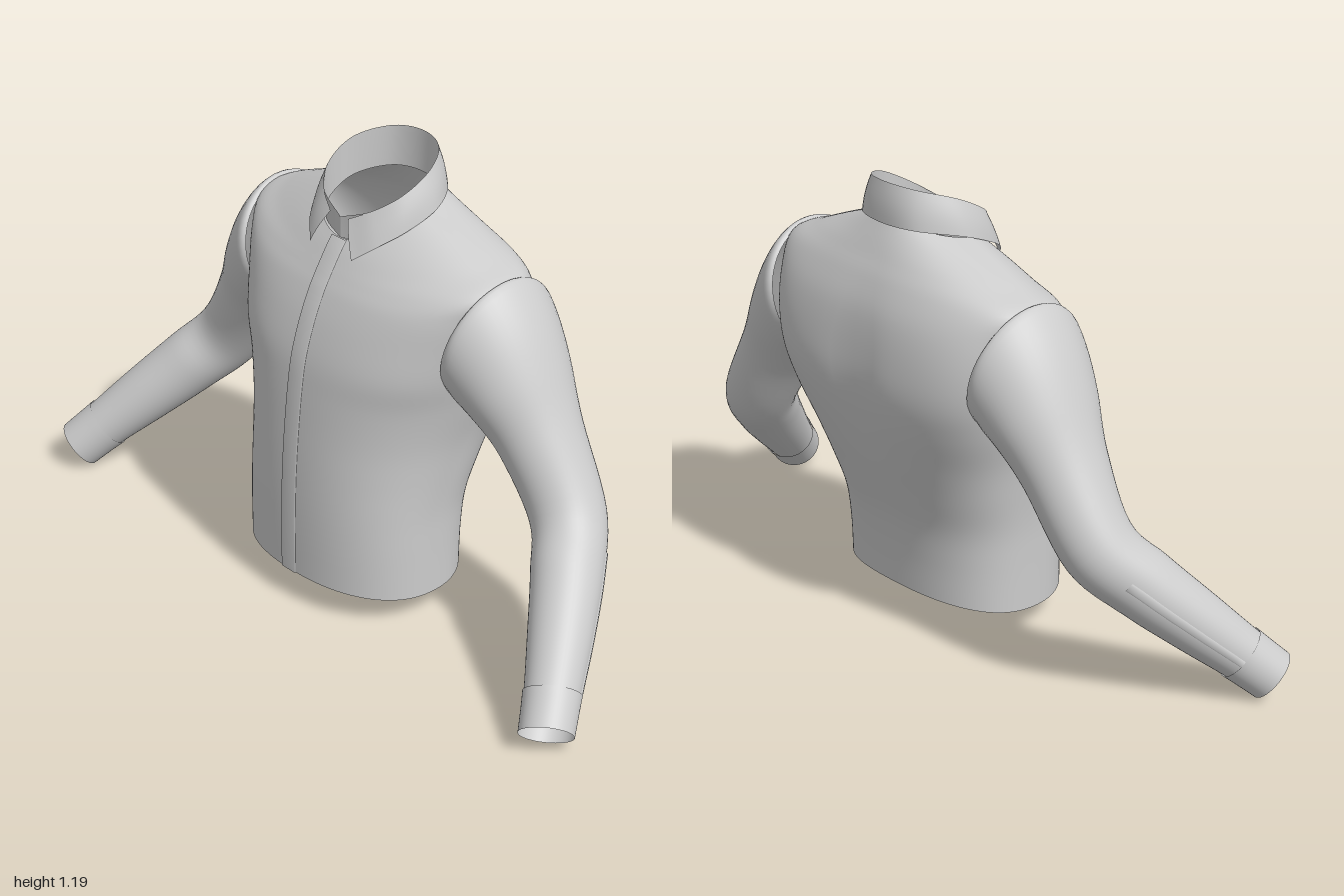
import * as THREE from 'three';

const V = (x, y, z) => new THREE.Vector3(x, y, z);
const material = new THREE.MeshStandardMaterial({ color: 0xcccccc, side: THREE.DoubleSide });

// Smooth (Catmull-Rom) in-between rows for a short table of cross-sections
function resample(rows, steps) {
  const out = [];
  const at = (i) => rows[Math.min(rows.length - 1, Math.max(0, i))];
  for (let k = 0; k <= (rows.length - 1) * steps; k++) {
    const i = Math.min(rows.length - 2, Math.floor(k / steps));
    const t = k / steps - i;
    out.push(rows[0].map((_, c) => {
      const [a, b, d, e] = [at(i - 1)[c], at(i)[c], at(i + 1)[c], at(i + 2)[c]];
      return b + 0.5 * t * (d - a + t * (2 * a - 5 * b + 4 * d - e + t * (3 * (b - d) + e - a)));
    }));
  }
  return out;
}

// Skin over a list of point rows; closed rows join their last point to the first
function skin(name, rows, closed) {
  const n = rows[0].length, index = [];
  for (let j = 0; j < rows.length - 1; j++) {
    for (let i = 0; i < (closed ? n : n - 1); i++) {
      const a = j * n + i, b = j * n + (i + 1) % n;
      index.push(a, a + n, b, b, a + n, b + n);
    }
  }
  const geometry = new THREE.BufferGeometry().setFromPoints(rows.flat());
  geometry.setIndex(index);
  geometry.computeVertexNormals();
  const mesh = new THREE.Mesh(geometry, material);
  mesh.name = name;
  return mesh;
}

const ring = (count, point) =>
  Array.from({ length: count }, (_, i) => point((i / count) * Math.PI * 2));

// Torso rings: yFront, ySide, yBack, half width, zFront, zSide, zBack, squareness front, back
const torsoRows = resample([
  [0.09, 0.07, 0.10, 0.300, 0.262, 0.04, -0.172, 2.3, 2.5],
  [0.20, 0.20, 0.20, 0.300, 0.262, 0.04, -0.180, 2.3, 2.5],
  [0.30, 0.30, 0.30, 0.302, 0.260, 0.03, -0.197, 2.3, 2.5],
  [0.40, 0.40, 0.40, 0.312, 0.255, 0.00, -0.230, 2.3, 2.6],
  [0.50, 0.50, 0.50, 0.328, 0.247, -0.03, -0.265, 2.3, 2.8],
  [0.61, 0.61, 0.61, 0.358, 0.235, -0.07, -0.296, 2.4, 3.2],
  [0.70, 0.70, 0.70, 0.382, 0.220, -0.08, -0.310, 2.6, 3.6],
  [0.79, 0.79, 0.79, 0.404, 0.192, -0.08, -0.306, 2.6, 3.6],
  [0.86, 0.885, 0.885, 0.427, 0.162, -0.08, -0.290, 2.5, 3.0],
  [0.90, 0.948, 0.96, 0.440, 0.140, -0.075, -0.262, 2.1, 2.4],
  [0.93, 0.985, 1.01, 0.360, 0.122, -0.07, -0.236, 2.0, 2.2],
  [0.96, 1.025, 1.055, 0.260, 0.103, -0.06, -0.212, 2.0, 2.0],
  [0.985, 1.062, 1.095, 0.160, 0.085, -0.05, -0.188, 2.0, 2.0],
], 5);

function torsoPoint([yF, yS, yB, w, zF, zS, zB, nF, nB], a) {
  const c = Math.cos(a), s = Math.sin(a), front = s > 0;
  const power = 2 / (front ? nF : nB);
  const x = w * Math.sign(c) * Math.abs(c) ** power;
  let z = zS + ((front ? zF : zB) - zS) * Math.abs(s) ** power;
  const y = yS + ((front ? yF : yB) - yS) * Math.abs(s) ** 1.4;
  // Soft hollow along the spine
  if (!front) z += 0.013 * Math.exp(-((x / 0.07) ** 2) - ((y - 0.68) / 0.22) ** 2);
  return V(x, y, z);
}

// Sleeve stations: centre x y z, direction x y z, radius up, radius across
const sleeveRows = resample([
  [0.375, 0.792, -0.085, 0.97, -0.25, 0.0, 0.172, 0.168],
  [0.405, 0.785, -0.085, 0.97, -0.25, 0.0, 0.177, 0.174],
  [0.475, 0.692, -0.088, 0.75, -0.65, 0.0, 0.130, 0.150],
  [0.550, 0.580, -0.092, 0.62, -0.78, 0.02, 0.104, 0.116],
  [0.660, 0.412, -0.083, 0.58, -0.76, 0.30, 0.094, 0.098],
  [0.740, 0.315, -0.005, 0.52, -0.65, 0.55, 0.089, 0.091],
  [0.820, 0.215, 0.092, 0.50, -0.64, 0.58, 0.080, 0.081],
  [0.890, 0.124, 0.183, 0.50, -0.64, 0.58, 0.069, 0.070],
  [0.938, 0.058, 0.248, 0.50, -0.64, 0.58, 0.065, 0.066],
], 6);

function sleevePoint([x, y, z, tx, ty, tz, ru, rv], a, side, puff = 0) {
  const t = V(tx, ty, tz).normalize();
  const v = V(0, 0, 1).addScaledVector(t, -t.z).normalize();
  const u = v.clone().cross(t);
  const p = V(x, y, z)
    .addScaledVector(u, (ru + puff) * Math.cos(a))
    .addScaledVector(v, (rv + puff) * Math.sin(a));
  p.x *= side;
  return p;
}

function makeSleeve(side) {
  const group = new THREE.Group();
  group.name = side > 0 ? 'leftSleeve' : 'rightSleeve';
  const tube = (name, rows, puff) =>
    skin(name, rows.map((r) => ring(48, (a) => sleevePoint(r, a, side, puff))), true);
  group.add(tube('sleeve', sleeveRows.slice(0, -5), 0));
  group.add(tube('cuff', sleeveRows.slice(-7), 0.003));
  // Narrow strip at the sleeve opening
  group.add(skin('sleevePlacket', sleeveRows.slice(-21, -6).map((r) =>
    [-1.05, -0.98, -0.82, -0.75].map((a, i) =>
      sleevePoint(r, a, side, i % 3 ? 0.003 : -0.001))), false));
  return group;
}

// Full left-right edge from a half path that starts at the centre back
function collarEdge(half) {
  const right = half.slice(1).reverse().map(([x, y, z]) => V(-x, y, z));
  return new THREE.CatmullRomCurve3([...right, ...half.map((p) => V(...p))]).getPoints(72);
}

// Band between two edges, with an outward bulge in the middle
function band(name, top, bottom, bulge) {
  const rows = [0, 0.2, 0.4, 0.6, 0.8, 1].map((t) => top.map((p, i) => {
    const q = p.clone().lerp(bottom[i], t);
    const out = V(q.x, 0, q.z + 0.05).normalize();
    return q.addScaledVector(out, bulge * Math.sin(Math.PI * t));
  }));
  return skin(name, rows, false);
}

export function createModel() {
  const shirt = new THREE.Group();
  shirt.name = 'shirt';

  shirt.add(skin('torso', torsoRows.map((r) => ring(112, (a) => torsoPoint(r, a))), true));

  // Button strip down the front
  shirt.add(skin('frontPlacket', torsoRows.map((r) =>
    [-0.03, -0.027, 0.022, 0.025].map((x, i) =>
      V(x, r[0], r[4] + (i % 3 ? 0.004 : -0.003)))), false));

  // Collar: inner stand closed at the front, outer fall with two points
  const collar = new THREE.Group();
  collar.name = 'collar';
  const back = [[0, 1.195, -0.19], [0.085, 1.188, -0.165], [0.143, 1.162, -0.08],
    [0.138, 1.118, 0.005], [0.09, 1.078, 0.06]];
  const fallTop = collarEdge([...back, [0.033, 1.046, 0.088]]);
  const fallBottom = collarEdge([[0, 1.09, -0.202], [0.1, 1.09, -0.182], [0.173, 1.073, -0.085],
    [0.166, 1.035, 0.01], [0.128, 0.998, 0.075], [0.078, 0.957, 0.117]]);
  const standTop = collarEdge([...back, [0, 1.04, 0.084]]);
  const standBottom = collarEdge([[0, 1.085, -0.185], [0.085, 1.08, -0.16], [0.145, 1.055, -0.08],
    [0.14, 1.02, 0.0], [0.09, 0.998, 0.055], [0, 0.982, 0.084]]);
  collar.add(band('collarFall', fallTop, fallBottom, 0.004));
  collar.add(band('collarStand', standTop, standBottom, 0));
  shirt.add(collar);

  for (const side of [1, -1]) shirt.add(makeSleeve(side));
  return shirt;
}
